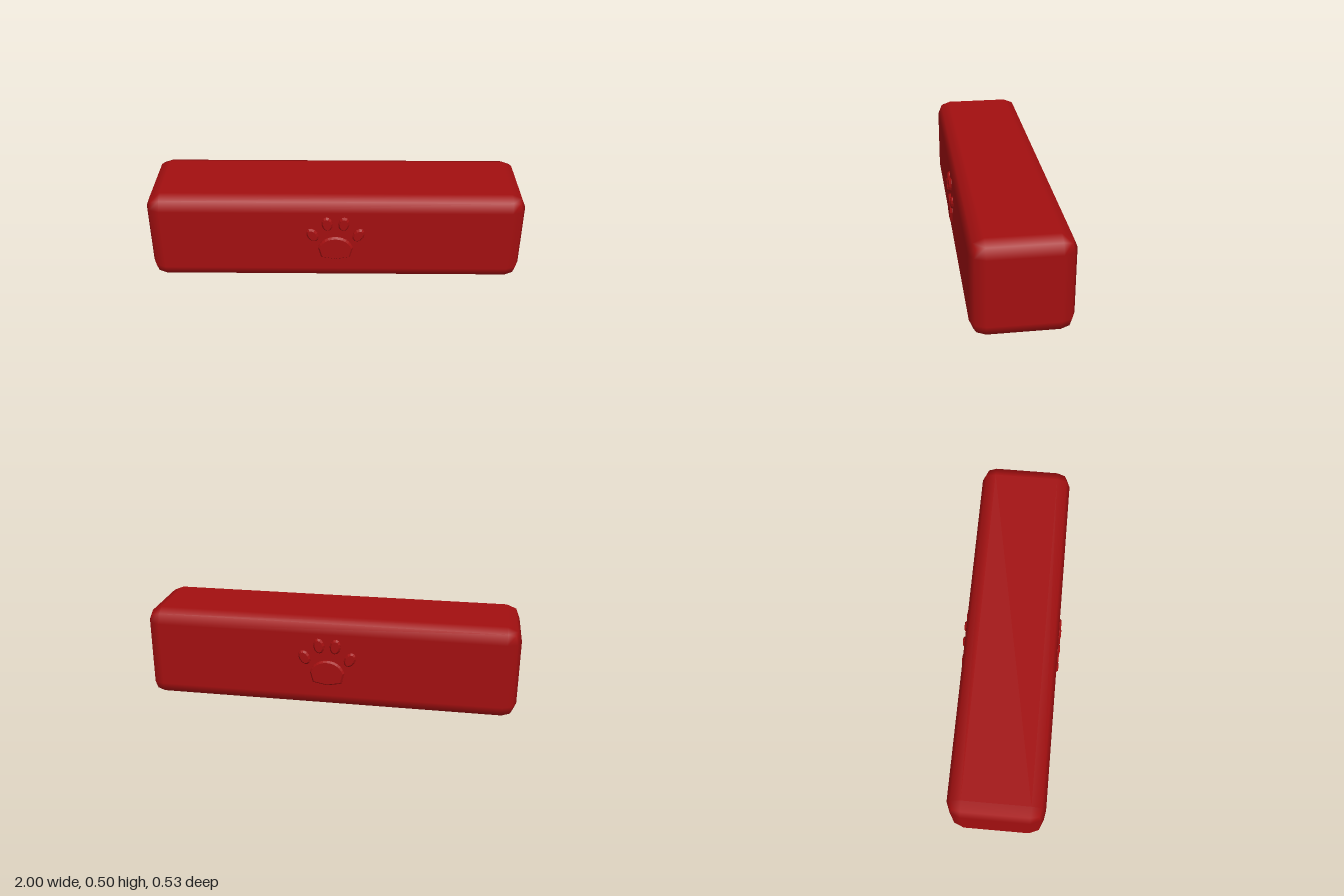
import * as THREE from 'three';
import { RoundedBoxGeometry } from 'three/addons/geometries/RoundedBoxGeometry.js';

const red = new THREE.MeshStandardMaterial({ color: 0xa30f10 });
red.name = 'deep red';

// Raised, bevelled relief from a flat outline; its top sits at z = 0.263
function relief(name, shape) {
  const bevel = 0.009;
  const geometry = new THREE.ExtrudeGeometry(shape, {
    depth: 0.02, bevelEnabled: true, bevelSegments: 1,
    bevelThickness: 0.011, bevelSize: bevel, bevelOffset: -bevel, curveSegments: 6,
  });
  geometry.translate(0, 0, 0.232);
  const mesh = new THREE.Mesh(geometry, red);
  mesh.name = name;
  return mesh;
}

function toeShape(x, y, rx, ry, tilt) {
  const points = [];
  for (let i = 0; i < 12; i++) {
    const a = (i / 12) * Math.PI * 2;
    points.push(new THREE.Vector2(rx * Math.cos(a), ry * Math.sin(a))
      .rotateAround(new THREE.Vector2(), tilt).add(new THREE.Vector2(x, y)));
  }
  return new THREE.Shape(points);
}

// Four toes and an arched main pad
function createPaw() {
  const paw = new THREE.Group();
  for (const side of [-1, 1]) {
    paw.add(relief('innerToe', toeShape(side * 0.044, 0.36, 0.03, 0.042, -side * 0.12)));
    paw.add(relief('outerToe', toeShape(side * 0.122, 0.291, 0.03, 0.042, -side * 0.5)));
  }
  const pad = new THREE.Shape();
  pad.moveTo(0, 0.136);
  pad.lineTo(0.078, 0.151);
  pad.lineTo(0.094, 0.212);
  pad.bezierCurveTo(0.078, 0.255, 0.045, 0.279, 0, 0.279);
  pad.bezierCurveTo(-0.045, 0.279, -0.078, 0.255, -0.094, 0.212);
  pad.lineTo(-0.078, 0.151);
  pad.closePath();
  paw.add(relief('mainPad', pad));
  return paw;
}

export function createModel() {
  const model = new THREE.Group();
  model.name = 'pawBar';

  // Long square bar with softened edges
  const bar = new THREE.Mesh(new RoundedBoxGeometry(2, 0.5, 0.5, 1, 0.075), red);
  bar.name = 'bar';
  bar.position.y = 0.25;
  model.add(bar);

  // Paw relief on front and back
  const front = createPaw();
  front.name = 'frontPaw';
  const back = createPaw();
  back.name = 'backPaw';
  back.rotation.y = Math.PI;
  model.add(front, back);
  return model;
}
